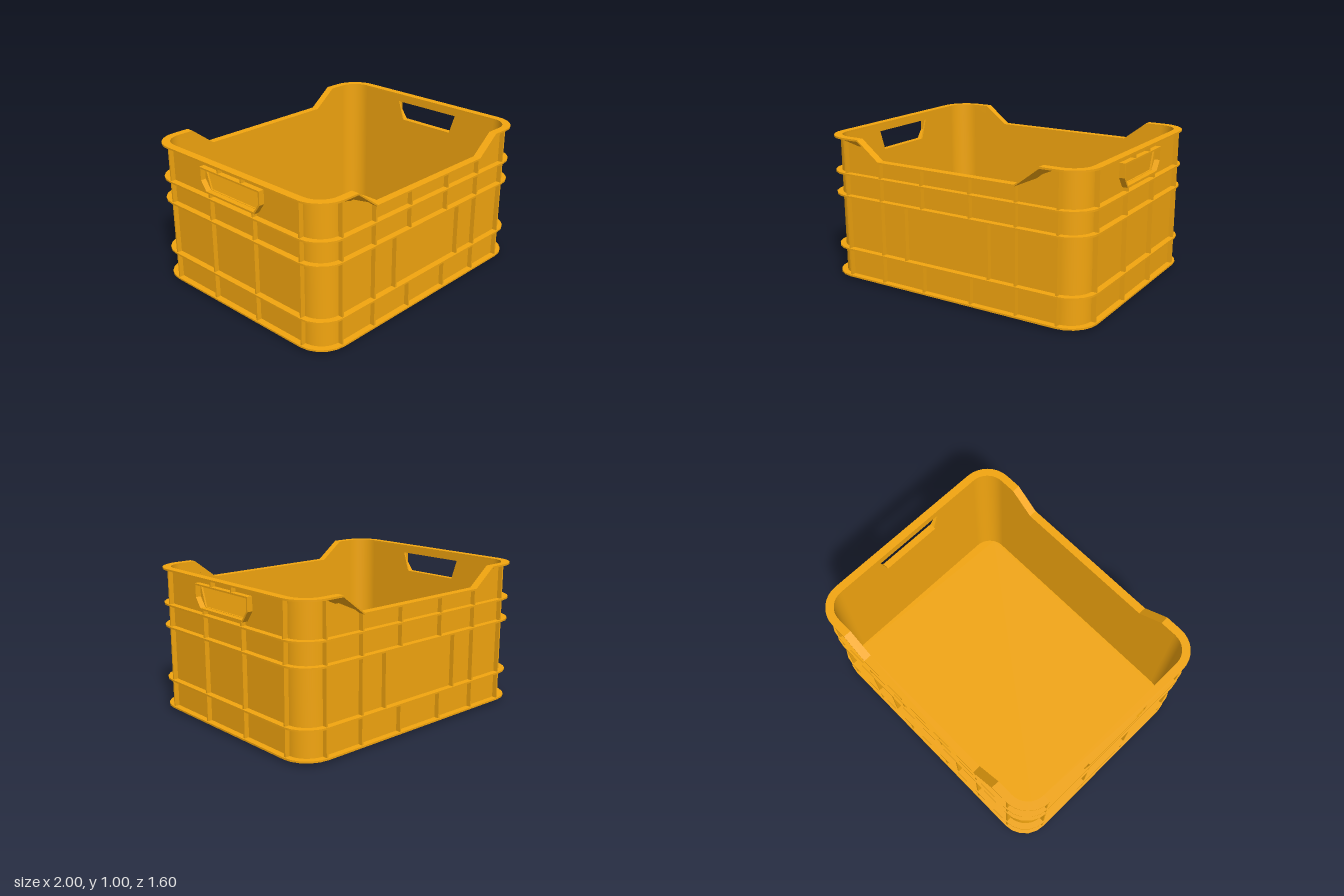
import * as THREE from 'three';
import { toCreasedNormals } from 'three/addons/utils/BufferGeometryUtils.js';

// All rounded outlines share these corner centres; a radius sets how far out they reach.
const CX = 0.807, CZ = 0.607;
const WALL_IN = 0.138, WALL_OUT = 0.15, RIB_OUT = 0.183, FLANGE_OUT = 0.193;
const TOP = 1, NOTCH = 0.87;

const clamp01 = (t) => Math.min(1, Math.max(0, t));
const dip = (x, from) => TOP - (TOP - NOTCH) * clamp01((from - Math.abs(x)) / (from - 0.52));

// Closed path round the crate: base point plus outward direction
function perimeter(segments) {
  const path = [];
  [[1, 1], [-1, 1], [-1, -1], [1, -1]].forEach(([sx, sz], k) => {
    for (let i = 0; i <= segments; i++) {
      const a = (k + i / segments) * Math.PI / 2;
      path.push({ x: sx * CX, z: sz * CZ, dx: Math.cos(a), dz: Math.sin(a) });
    }
    // extra stations where the long sides dip
    if (k % 2 === 0) {
      for (const x of [0.69, 0.52, -0.52, -0.69]) path.push({ x: sx * x, z: sz * CZ, dx: 0, dz: sz });
    }
  });
  return path;
}

// Sweeps a cross-section of [radius, y] points round the crate
function ring(section, segments) {
  const loops = perimeter(segments).map((p) =>
    section(p.x).map(([r, y]) => [p.x + p.dx * r, y, p.z + p.dz * r]));
  const pos = [];
  loops.forEach((loop, i) => {
    const next = loops[(i + 1) % loops.length];
    loop.forEach((a, j) => {
      const k = (j + 1) % loop.length;
      const b = next[j], c = next[k], d = loop[k];
      pos.push(...a, ...d, ...c, ...a, ...c, ...b);
    });
  });
  const g = new THREE.BufferGeometry();
  g.setAttribute('position', new THREE.Float32BufferAttribute(pos, 3));
  return toCreasedNormals(g, 0.5);
}

const band = (r0, r1, y0, y1) => () => [[r0, y0], [r1, y0], [r1, y1], [r0, y1]];
const polygon = (pts) => pts.map(([x, y]) => new THREE.Vector2(x, y));
// Completes a right-hand outline with its mirror image
const mirrored = (pts) => polygon([...pts, ...pts.map(([x, y]) => [-x, y]).reverse()]);
const extrude = (shape, depth) =>
  new THREE.ExtrudeGeometry(shape, { depth, bevelEnabled: false, curveSegments: 10 });

export function createModel() {
  const crate = new THREE.Group();
  crate.name = 'crate';
  const plastic = new THREE.MeshStandardMaterial({ color: 0xf2a50f, side: THREE.DoubleSide });
  const add = (name, geometry, parent = crate) => {
    const mesh = new THREE.Mesh(geometry, plastic);
    mesh.name = name;
    parent.add(mesh);
    return mesh;
  };
  const thickness = WALL_OUT - WALL_IN;

  // Floor with a shallow foot lip
  const floorShape = new THREE.Shape();
  [[1, 1], [-1, 1], [-1, -1], [1, -1]].forEach(([sx, sz], k) =>
    floorShape.absarc(sx * CX, sz * CZ, 0.14, k * Math.PI / 2, (k + 1) * Math.PI / 2));
  add('floor', extrude(floorShape, 0.016).rotateX(-Math.PI / 2).translate(0, 0.012, 0));
  add('footLip', ring(band(0.115, WALL_IN, 0, 0.02), 8));

  // Horizontal flanges
  for (const y of [0.026, 0.22, 0.597, 0.752]) {
    add('flange', ring(band(0.143, FLANGE_OUT, y - 0.006, y + 0.006), 5));
  }

  // Top rim, dipping along the front and back, with thickened slopes
  add('topRim', ring((x) => {
    const top = dip(x, 0.69), under = dip(x, CX) - 0.012;
    return [[WALL_IN - 0.001, under], [FLANGE_OUT, top - 0.012], [FLANGE_OUT, top], [WALL_IN - 0.001, top]];
  }, 8));

  // Rounded corner walls
  for (let k = 0; k < 4; k++) {
    const sx = k === 0 || k === 3 ? 1 : -1, sy = k < 2 ? 1 : -1;
    const a = k * Math.PI / 2, b = a + Math.PI / 2;
    const s = new THREE.Shape();
    s.absarc(sx * CX, sy * CZ, WALL_OUT, a, b, false);
    s.absarc(sx * CX, sy * CZ, WALL_IN, b, a, true);
    const g = extrude(s, 0.98).rotateX(-Math.PI / 2).translate(0, 0.016, 0);
    add('cornerWall', toCreasedNormals(g, 0.5));
  }

  // Long walls with their ribs: [x, bottom, top]
  const longShape = new THREE.Shape(mirrored([
    [CX, 0.016], [CX, TOP - 0.004], [0.69, TOP - 0.004], [0.52, NOTCH - 0.004]]));
  const longRibs = [[0.81, 0.026, 0.99], [0.52, 0.026, 0.865], [0.185, 0.026, 0.22],
    [0.185, 0.597, 0.865], [0.322, 0.22, 0.597]];

  // Short walls with a hand hole, a raised frame and ribs
  const shortShape = new THREE.Shape(mirrored([[CZ, 0.016], [CZ, TOP - 0.004]]));
  shortShape.holes.push(new THREE.Path(mirrored([[0.222, 0.8], [0.268, 0.94]])));
  const frameShape = new THREE.Shape(mirrored([[0.232, 0.787], [0.283, 0.858], [0.283, 0.952]]));
  frameShape.holes.push(new THREE.Path(mirrored([[0.225, 0.798], [0.272, 0.862], [0.272, 0.941]])));
  const shortRibs = [[0.61, 0.026, 0.99], [0.205, 0.026, 0.79], [0.11, 0.948, 0.99]];

  // Each wall is made facing +z, then turned into place
  const wall = (name, shape, ribs, distance, turn) => {
    const side = new THREE.Group();
    side.name = name;
    side.rotation.y = turn;
    add('panel', extrude(shape, thickness).translate(0, 0, distance + WALL_IN), side);
    const depth = RIB_OUT - 0.143;
    for (const [x, y0, y1] of ribs) {
      for (const s of [-1, 1]) {
        add('rib', new THREE.BoxGeometry(0.012, y1 - y0, depth), side)
          .position.set(s * x, (y0 + y1) / 2, distance + 0.143 + depth / 2);
      }
    }
    crate.add(side);
    return side;
  };
  wall('frontWall', longShape, longRibs, CZ, 0);
  wall('backWall', longShape, longRibs, CZ, Math.PI);
  for (const [name, turn] of [['leftWall', Math.PI / 2], ['rightWall', -Math.PI / 2]]) {
    const side = wall(name, shortShape, shortRibs, CX, turn);
    add('handleFrame', extrude(frameShape, 0.04).translate(0, 0, CX + 0.148), side);
  }
  return crate;
}
